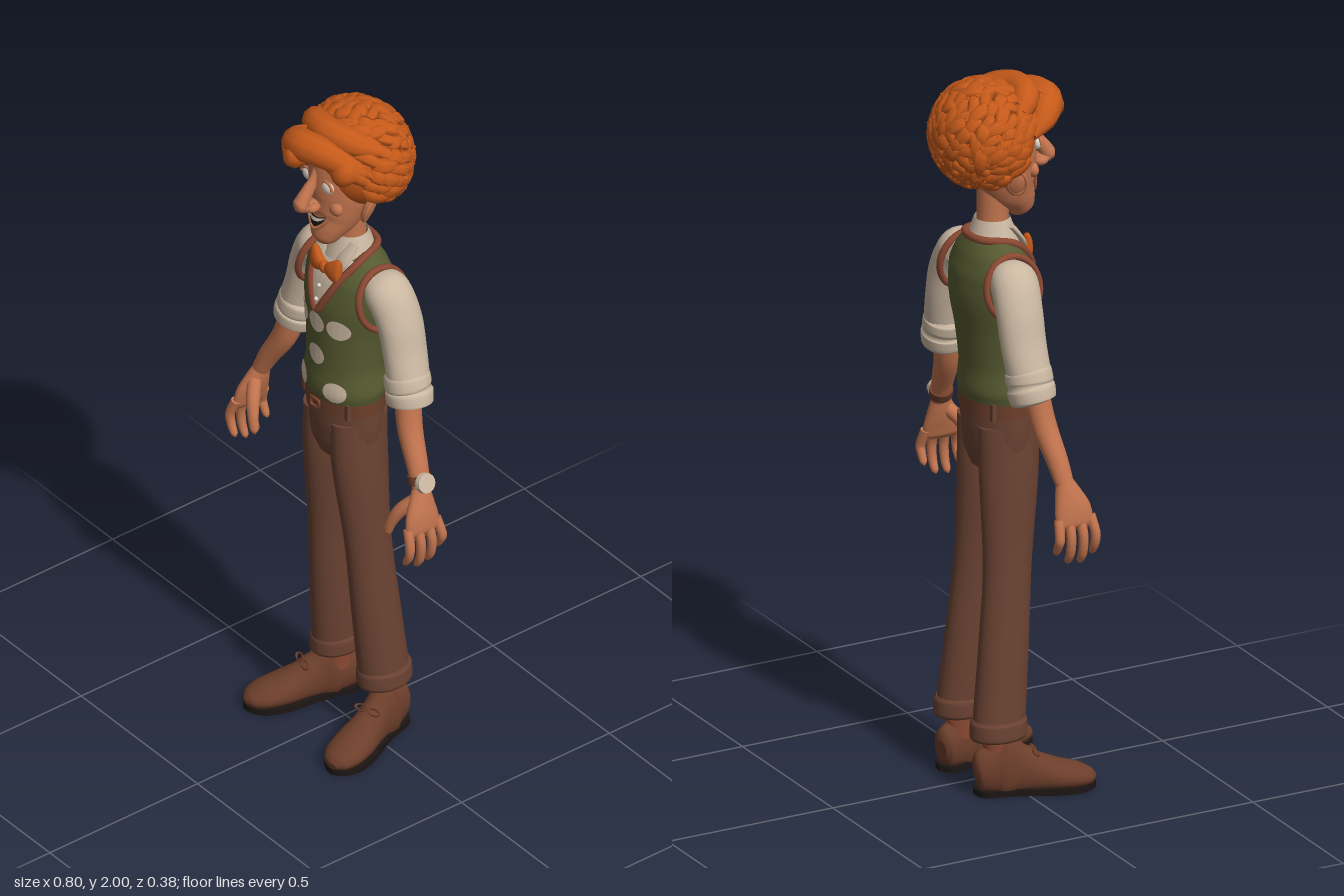
import * as THREE from 'three';
import { mergeGeometries } from 'three/addons/utils/BufferGeometryUtils.js';

const V3 = (x, y, z) => new THREE.Vector3(x, y, z);
const mat = (name, color) => Object.assign(new THREE.MeshStandardMaterial({ color, side: THREE.DoubleSide }), { name });
const M = {
  hair: mat('orange hair', 0xc65a1a), skin: mat('skin', 0xc2744e), vest: mat('green knit', 0x565a30),
  shirt: mat('cream shirt', 0xcbb8a2), trim: mat('rust trim', 0x8a4832), trousers: mat('brown trousers', 0x6a4232),
  shoe: mat('shoe leather', 0x6c3e2b), dark: mat('near black', 0x1c1614), white: mat('eye white', 0xe2d8cc),
};

// Smooth body through elliptical sections [x, y, z, a, b]; a lies along ref
function loftGeo(sections, n = 20, rows = 24, ref = V3(1, 0, 0)) {
  const path = new THREE.CatmullRomCurve3(sections.map(s => V3(s[0], s[1], s[2])));
  const size = new THREE.CatmullRomCurve3(sections.map(s => V3(s[3], s[4], 0)));
  const pos = [], idx = [];
  const ring = t => {
    const p = path.getPoint(t), r = size.getPoint(t), T = path.getTangent(t);
    const U = ref.clone().addScaledVector(T, -ref.dot(T)).normalize(), W = T.clone().cross(U);
    for (let j = 0; j < n; j++) {
      const a = j / n * Math.PI * 2;
      pos.push(...p.clone().addScaledVector(U, r.x * Math.cos(a)).addScaledVector(W, r.y * Math.sin(a)).toArray());
    }
    return p;
  };
  for (let i = 0; i <= rows; i++) ring(i / rows);
  for (let i = 0; i < rows; i++) for (let j = 0; j < n; j++) {
    const a = i * n + j, b = i * n + (j + 1) % n;
    idx.push(a, b, a + n, b, b + n, a + n);
  }
  for (const t of [0, 1]) {
    const s = pos.length / 3, p = ring(t);
    pos.push(p.x, p.y, p.z);
    for (let j = 0; j < n; j++) {
      const k = (j + 1) % n;
      idx.push(s + n, s + (t ? j : k), s + (t ? k : j));
    }
  }
  const g = new THREE.BufferGeometry();
  g.setAttribute('position', new THREE.Float32BufferAttribute(pos, 3));
  g.setIndex(idx);
  g.computeVertexNormals();
  return g;
}

export function createModel() {
  const model = new THREE.Group();
  model.name = 'man';
  const add = (name, geo, material, parent = model) => {
    const m = new THREE.Mesh(geo, material);
    m.name = name;
    parent.add(m);
    return m;
  };
  const loft = (name, sections, material, n, rows, ref) => add(name, loftGeo(sections, n, rows, ref), material);
  const tube = (name, pts, r, material, closed = false) =>
    add(name, new THREE.TubeGeometry(new THREE.CatmullRomCurve3(pts, closed), 48, r, 8, closed), material);
  const at = (m, x, y, z, sx = 1, sy = 1, sz = 1) => { m.position.set(x, y, z); m.scale.set(sx, sy, sz); return m; };

  // Front depth of a mesh at (x, y), and thin patches laid on it
  const ray = new THREE.Raycaster();
  const frontZ = (mesh, x, y, miss = -0.02) => {
    ray.set(V3(x, y, 1), V3(0, 0, -1));
    const h = ray.intersectObject(mesh)[0];
    return h ? h.point.z : miss;
  };
  const patch = (name, base, rule, material, lift = 0.004) => {
    const g = new THREE.PlaneGeometry(1, 1, 24, 8), p = g.attributes.position;
    for (let i = 0; i < p.count; i++) {
      const [x, y] = rule(p.getX(i) + 0.5, p.getY(i) + 0.5);
      p.setXYZ(i, x, y, frontZ(base, x, y) + lift);
    }
    g.computeVertexNormals();
    return add(name, g, material);
  };

  // Vest
  const vest = loft('vest', [
    [0, 1.10, 0, .122, .099], [0, 1.13, 0, .127, .104], [0, 1.2, -.002, .116, .099], [0, 1.3, -.008, .122, .104],
    [0, 1.4, -.016, .138, .111], [0, 1.47, -.022, .143, .1], [0, 1.52, -.027, .118, .078], [0, 1.56, -.03, .07, .052],
  ], M.vest, 40, 48);
  for (const [x, y] of [[-.07, 1.345], [0, 1.345], [.07, 1.345], [0, 1.24], [-.065, 1.14], [.065, 1.14]])
    patch('vestSpot', vest, (u, v) => [x + .031 * v * Math.cos(u * 6.2832), y + .031 * v * Math.sin(u * 6.2832)], M.shirt);
  patch('vestStripe', vest, (u, v) => [(u - .5) * .14, 1.343 + v * .006], M.trim, .003);

  // Shirt front, V-shaped trim, collar
  patch('shirtFront', vest, (u, v) => [(u - .5) * .14 * v, 1.385 + v * .16], M.shirt);
  const neckline = [[-.075, 1.545], [-.055, 1.49], [-.028, 1.43], [0, 1.385], [.028, 1.43], [.055, 1.49], [.075, 1.545]]
    .map(([x, y]) => V3(x, y, frontZ(vest, x, y) + .002));
  tube('necklineTrim', [...neckline, V3(.05, 1.56, -.07), V3(0, 1.56, -.085), V3(-.05, 1.56, -.07)], .011, M.trim, true);
  at(add('collar', new THREE.CylinderGeometry(.05, .075, .07, 28, 1, true), M.shirt), 0, 1.57, -.017, 1, 1, .95);
  for (const s of [-1, 1])
    loft('collarWing', [[s * .05, 1.59, .01, .02, .008], [s * .045, 1.545, .045, .024, .007], [s * .035, 1.505, .063, .005, .004]], M.shirt, 10, 10);
  for (const y of [1.42, 1.46]) at(add('shirtButton', new THREE.SphereGeometry(.006, 10, 8), M.white), 0, y, frontZ(vest, 0, y) + .006);

  // Bow tie
  for (const s of [-1, 1])
    loft('bowTieWing', [[s * .004, 1.513, .067, .012, .014], [s * .03, 1.515, .068, .016, .03], [s * .052, 1.517, .062, .015, .041],
      [s * .06, 1.517, .06, .005, .034]], M.hair, 14, 14, V3(0, 0, 1));
  at(add('bowTieKnot', new THREE.SphereGeometry(.017, 14, 10), M.hair), 0, 1.513, .07, 1, 1.1, .9);

  // Belt and hips
  loft('hips', [[0, .9, 0, .09, .07], [0, .95, 0, .114, .088], [0, 1.02, 0, .118, .094], [0, 1.09, 0, .117, .094]], M.trousers, 32);
  loft('belt', [[0, 1.06, 0, .121, .098], [0, 1.1, 0, .121, .098]], M.shoe, 36, 2);
  at(add('beltBuckle', new THREE.TorusGeometry(.018, .004, 6, 4, Math.PI * 2).rotateZ(Math.PI / 4), M.trim), 0, 1.08, .102, 1.3, 1, 1);
  for (const s of [-1, 1]) for (const z of [-.062, .062])
    at(add('beltLoop', new THREE.BoxGeometry(.012, .05, .012), M.trousers), s * .092, 1.08, z * 1.03);

  for (const s of [-1, 1]) {
    // Trouser leg with rolled cuff
    loft('trouserLeg', [[s * .057, 1.03, 0, .055, .088], [s * .061, .9, 0, .057, .086], [s * .08, .6, -.016, .05, .069],
      [s * .09, .4, -.032, .053, .072], [s * .1, .18, -.052, .058, .075]], M.trousers, 24, 32);
    loft('trouserCuff', [[s * .101, .155, -.053, .06, .077], [s * .101, .165, -.053, .065, .081], [s * .1, .2, -.052, .064, .08],
      [s * .1, .21, -.052, .058, .075]], M.trousers, 24, 12);
    loft('sock', [[s * .102, .09, -.055, .035, .042], [s * .102, .17, -.053, .035, .042]], M.trim, 16, 2);

    // Shoe, turned outward
    const shoe = new THREE.Group();
    shoe.name = 'shoe';
    shoe.position.set(s * .14, 0, .035);
    shoe.rotation.y = s * .3;
    model.add(shoe);
    const upper = loftGeo([[0, .06, -.163, .02, .03], [0, .062, -.15, .036, .06], [0, .064, -.1, .043, .074], [0, .06, -.045, .043, .074],
      [0, .05, .0, .047, .058], [0, .04, .06, .056, .044], [0, .034, .115, .053, .034], [0, .028, .15, .036, .022], [0, .025, .164, .012, .01]], 24, 36);
    const p = upper.attributes.position;
    for (let i = 0; i < p.count; i++) p.setY(i, Math.max(p.getY(i), .014));
    upper.computeVertexNormals();
    add('shoeUpper', upper, M.shoe, shoe);
    const outline = new THREE.Shape(new THREE.SplineCurve([[0, -.167], [.04, -.14], [.043, -.05], [.06, .06], [.05, .13], [0, .167],
      [-.05, .13], [-.06, .06], [-.043, -.05], [-.04, -.14], [0, -.167]].map(q => new THREE.Vector2(...q))).getPoints(48));
    add('shoeSole', new THREE.ExtrudeGeometry(outline, { depth: .017, bevelEnabled: false }).rotateX(Math.PI / 2).scale(1, 1, 1).translate(0, .017, 0), M.dark, shoe);
    for (let i = 0; i < 3; i++) {
      const lace = add('shoeLace', new THREE.TorusGeometry(.024, .004, 6, 14, Math.PI), M.dark, shoe);
      at(lace, 0, .1 - i * .012, -.012 + i * .022, 1, .45, 1);
    }
    for (const k of [-1, 1]) {
      const bow = add('laceBow', new THREE.TorusGeometry(.015, .004, 6, 14), M.shoe, shoe);
      at(bow, k * .02, .112, -.0, 1.2, .6, 1);
      bow.rotation.x = -.9;
    }

    // Sleeve with rolled cuff, armhole trim
    loft('sleeve', [[s * .1, 1.49, -.027, .035, .05], [s * .145, 1.465, -.03, .058, .066], [s * .185, 1.4, -.036, .052, .066],
      [s * .21, 1.31, -.036, .05, .064], [s * .235, 1.22, -.03, .055, .06]], M.shirt, 24, 28);
    loft('sleeveCuff', [[s * .222, 1.25, -.032, .052, .056], [s * .225, 1.24, -.031, .061, .064], [s * .232, 1.215, -.03, .062, .065],
      [s * .235, 1.205, -.03, .058, .061], [s * .238, 1.195, -.029, .064, .066], [s * .245, 1.165, -.027, .063, .063],
      [s * .247, 1.158, -.026, .046, .05]], M.shirt, 24, 28);
    const hole = at(add('armholeTrim', new THREE.TorusGeometry(1, .11, 10, 36).rotateY(Math.PI / 2), M.trim), s * .13, 1.44, -.024, .1, .088, .08);
    hole.rotation.z = s * .22;

    // Forearm and hand
    loft('forearm', [[s * .24, 1.2, -.022, .038, .038], [s * .268, 1.1, -.008, .035, .035], [s * .318, 1.01, .006, .028, .03],
      [s * .346, .95, .014, .022, .026]], M.skin, 18, 20);
    loft('palm', [[s * .342, .96, .013, .021, .024], [s * .352, .925, .02, .024, .038], [s * .365, .88, .028, .023, .053],
      [s * .372, .845, .031, .019, .055], [s * .373, .83, .031, .008, .045]], M.skin, 18, 18);
    [.078, .046, .014, -.016].forEach((z, i) => {
      const y = [.75, .73, .735, .765][i], spread = z + (z - .03) * .15;
      loft('finger', [[s * .37, .86, z, .014, .014], [s * .387, .81, spread, .0135, .0135], [s * .382, y + .03, spread, .0125, .0125],
        [s * .368, y + .004, spread, .009, .01], [s * .364, y - .004, spread, .002, .002]], M.skin, 12, 14);
    });
    loft('thumb', [[s * .35, .93, .03, .02, .02], [s * .318, .89, .062, .019, .019], [s * .297, .845, .078, .015, .015],
      [s * .287, .812, .082, .012, .012], [s * .284, .8, .083, .002, .002]], M.skin, 12, 16);
  }

  // Wristwatch on the left wrist
  loft('watchStrap', [[.328, .988, .009, .031, .033], [.338, .966, .012, .03, .032]], M.shoe, 20, 3);
  const watch = at(add('watchFace', new THREE.CylinderGeometry(.027, .029, .014, 20), M.shirt), .363, .982, .014);
  watch.rotation.z = -1.2;

  // Head, neck, ears
  loft('neck', [[0, 1.52, -.022, .046, .046], [0, 1.6, -.016, .042, .043], [0, 1.72, -.01, .046, .05]], M.skin, 20, 10);
  const head = loft('head', [[0, 1.6, .08, .014, .014], [0, 1.612, .074, .034, .034], [0, 1.645, .058, .053, .052], [0, 1.685, .034, .07, .076],
    [0, 1.74, .016, .083, .091], [0, 1.8, .01, .087, .098], [0, 1.87, 0, .087, .104], [0, 1.93, -.01, .07, .085]], M.skin, 36, 40);
  for (const s of [-1, 1]) {
    const ear = at(add('ear', new THREE.SphereGeometry(1, 16, 12), M.skin), s * .098, 1.73, -.002, .014, .044, .028);
    ear.rotation.set(-.15, s * .45, -s * .25);
    const rim = at(add('earRim', new THREE.TorusGeometry(1, .16, 8, 20).rotateY(Math.PI / 2), M.skin), s * .107, 1.733, 0, .03, .038, .025);
    rim.rotation.set(-.15, s * .45, -s * .25);
    // Eye, lids, cheek and nostril
    const z = frontZ(head, s * .041, 1.808);
    at(add('eye', new THREE.SphereGeometry(1, 18, 14), M.white), s * .041, 1.808, z - .004, .023, .019, .012);
    at(add('upperLid', new THREE.TorusGeometry(1, .2, 8, 18, Math.PI), M.skin), s * .041, 1.808, z + .001, .024, .021, .02);
    at(add('cheek', new THREE.SphereGeometry(1, 16, 12), M.skin), s * .054, 1.738, frontZ(head, s * .054, 1.738) - .006, .024, .021, .016);
    at(add('nostril', new THREE.SphereGeometry(1, 14, 10), M.skin), s * .019, 1.742, .122, .014, .013, .02);
  }
  loft('nose', [[0, 1.855, .092, .011, .012], [0, 1.815, .108, .012, .016], [0, 1.775, .138, .018, .02], [0, 1.753, .153, .022, .021],
    [0, 1.744, .163, .016, .012], [0, 1.742, .167, .004, .004]], M.skin, 18, 20);
  loft('noseBase', [[0, 1.735, .09, .022, .016], [0, 1.745, .15, .02, .015]], M.skin, 16, 4);

  // Smiling mouth
  const smile = (w, top, a, bottom, b) => (u, v) => {
    const k = 2 * u - 1;
    return [k * w, THREE.MathUtils.lerp(bottom + b * k * k, top + a * k * k, v)];
  };
  patch('mouth', head, smile(.045, 1.697, .016, 1.662, .051), M.dark, .004);
  patch('upperTeeth', head, smile(.036, 1.696, .01, 1.684, .019), M.white, .007);
  const lipPoints = [-1, -.6, 0, .6, 1].map(k => {
    const x = k * .045, y = 1.66 + .053 * k * k;
    return V3(x, y, frontZ(head, x, y) + .002);
  });
  tube('lowerLip', lipPoints, .006, M.skin);

  // Hair: full cap, swept quiff and seeded locks
  const C = V3(0, 1.842, -.04), R = V3(.148, .138, .13);
  at(add('hairCap', new THREE.SphereGeometry(1, 36, 24), M.hair), C.x, C.y, C.z, R.x, R.y, R.z);
  const quiff = [
    [[.12, 1.87, .03, .02, .02], [.085, 1.9, .07, .035, .035], [.035, 1.925, .105, .045, .042], [-.035, 1.925, .125, .046, .046], [-.085, 1.895, .09, .036, .04], [-.115, 1.86, .04, .015, .015]],
    [[.12, 1.92, -.02, .02, .02], [.07, 1.945, .03, .038, .04], [0, 1.955, .06, .045, .042], [-.06, 1.95, .05, .042, .04], [-.11, 1.91, .0, .02, .02]],
    [[.04, 1.93, .1, .012, .012], [-.01, 1.9, .14, .022, .02], [-.05, 1.905, .15, .022, .02], [-.07, 1.94, .12, .015, .015], [-.04, 1.965, .09, .004, .004]],
    [[.13, 1.83, .02, .008, .008], [.115, 1.87, .055, .022, .02], [.07, 1.89, .095, .022, .02], [.03, 1.92, .12, .006, .006]],
  ];
  quiff.forEach(q => loft('quiff', q, M.hair, 10, 18, V3(0, 1, .3).normalize()));

  let seed = 11;
  const rnd = () => (seed = (seed * 16807) % 2147483647) / 2147483647;
  const locks = [], count = 210;
  for (let i = 0; i < count; i++) {
    const y = 1 - 1.85 * (i + .5) / count, a = i * 2.39996, h = Math.sqrt(1 - y * y);
    const d = V3(h * Math.cos(a), y, h * Math.sin(a)), p = d.clone().multiply(R).add(C);
    if ((p.z > .02 && p.y < 1.885) || (p.z > -.05 && p.y < 1.785)) continue;
    const flow = V3((rnd() - .5) * 1.5 + d.x * .5, -.35 + (rnd() - .5) * .9, -.75).projectOnPlane(d).normalize();
    const side = d.clone().cross(flow), bend = (rnd() - .5) * .8, len = .24 + rnd() * .2, wide = .016 + rnd() * .009;
    const point = (t, lift) => d.clone().addScaledVector(flow, t * len).addScaledVector(side, bend * t * t * len)
      .normalize().multiplyScalar(lift).multiply(R).add(C);
    const steps = [[-.8, .95, .3], [-.25, 1.05, 1], [.35, 1.07, .9], [.9, 1.06, .5], [1.15, 1.12 + rnd() * .04, .08]];
    locks.push(loftGeo(steps.map(([t, lift, w]) => [...point(t, lift).toArray(), wide * w, wide * w * .55]), 6, 9, side.normalize()));
  }
  add('hairLocks', mergeGeometries(locks), M.hair);
  return model;
}
